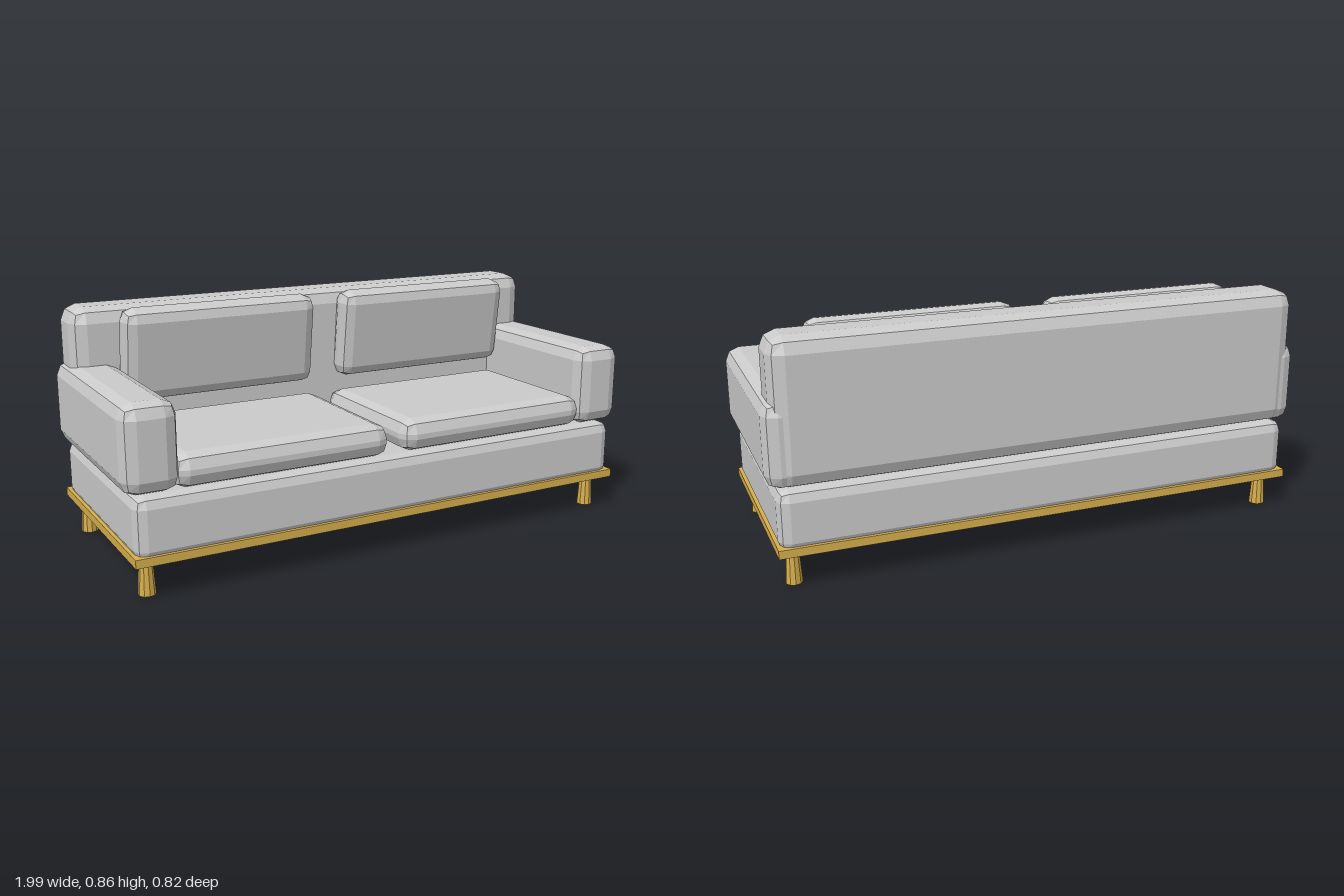
import * as THREE from 'three';
import { RoundedBoxGeometry } from 'three/addons/geometries/RoundedBoxGeometry.js';

const fabric = new THREE.MeshStandardMaterial({ color: 0xcbcbcb });
fabric.name = 'grey fabric';
const wood = new THREE.MeshStandardMaterial({ color: 0xd6ae4c });
wood.name = 'golden wood';

// Faceted normals for the low-poly look
function facet(geometry) {
  const flat = geometry.index ? geometry.toNonIndexed() : geometry;
  flat.computeVertexNormals();
  return flat;
}

// Upholstered block with two-step bevelled edges, given by its extents
function padded(name, [x0, x1], [y0, y1], [z0, z1], radius) {
  const geometry = new RoundedBoxGeometry(x1 - x0, y1 - y0, z1 - z0, 1, radius);
  const mesh = new THREE.Mesh(facet(geometry), fabric);
  mesh.name = name;
  mesh.position.set((x0 + x1) / 2, (y0 + y1) / 2, (z0 + z1) / 2);
  return mesh;
}

export function createModel() {
  const sofa = new THREE.Group();
  sofa.name = 'sofa';

  // Wooden platform
  const board = new THREE.Mesh(new THREE.BoxGeometry(1.95, 0.03, 0.816), wood);
  board.name = 'baseBoard';
  board.position.y = 0.14;
  sofa.add(board);

  // Main upholstered blocks
  sofa.add(padded('seatBase', [-0.967, 0.967], [0.128, 0.35], [-0.4, 0.4], 0.04));
  sofa.add(padded('backrest', [-0.97, 0.97], [0.35, 0.857], [-0.407, -0.207], 0.055));

  // Mirrored parts
  for (const [side, s] of [['left', 1], ['right', -1]]) {
    const span = (a, b) => (s > 0 ? [a, b] : [-b, -a]);

    sofa.add(padded(side + 'Arm', span(0.803, 0.997), [0.35, 0.652], [-0.4, 0.4], 0.05));
    sofa.add(padded(side + 'SeatCushion', span(0.027, 0.825), [0.347, 0.466], [-0.215, 0.39], 0.05));

    // Back pillow tips slightly forward at the top
    const pillow = padded(side + 'BackPillow', span(0.06, 0.81), [0.515, 0.857], [-0.232, -0.122], 0.045);
    pillow.rotation.x = 0.125;
    sofa.add(pillow);

    // Legs flare toward the floor
    for (const [end, z] of [['Front', 0.328], ['Back', -0.328]]) {
      const leg = new THREE.Mesh(facet(new THREE.CylinderGeometry(0.022, 0.03, 0.127, 10)), wood);
      leg.name = side + end + 'Leg';
      leg.position.set(s * 0.917, 0.0635, z);
      sofa.add(leg);
    }
  }
  return sofa;
}
